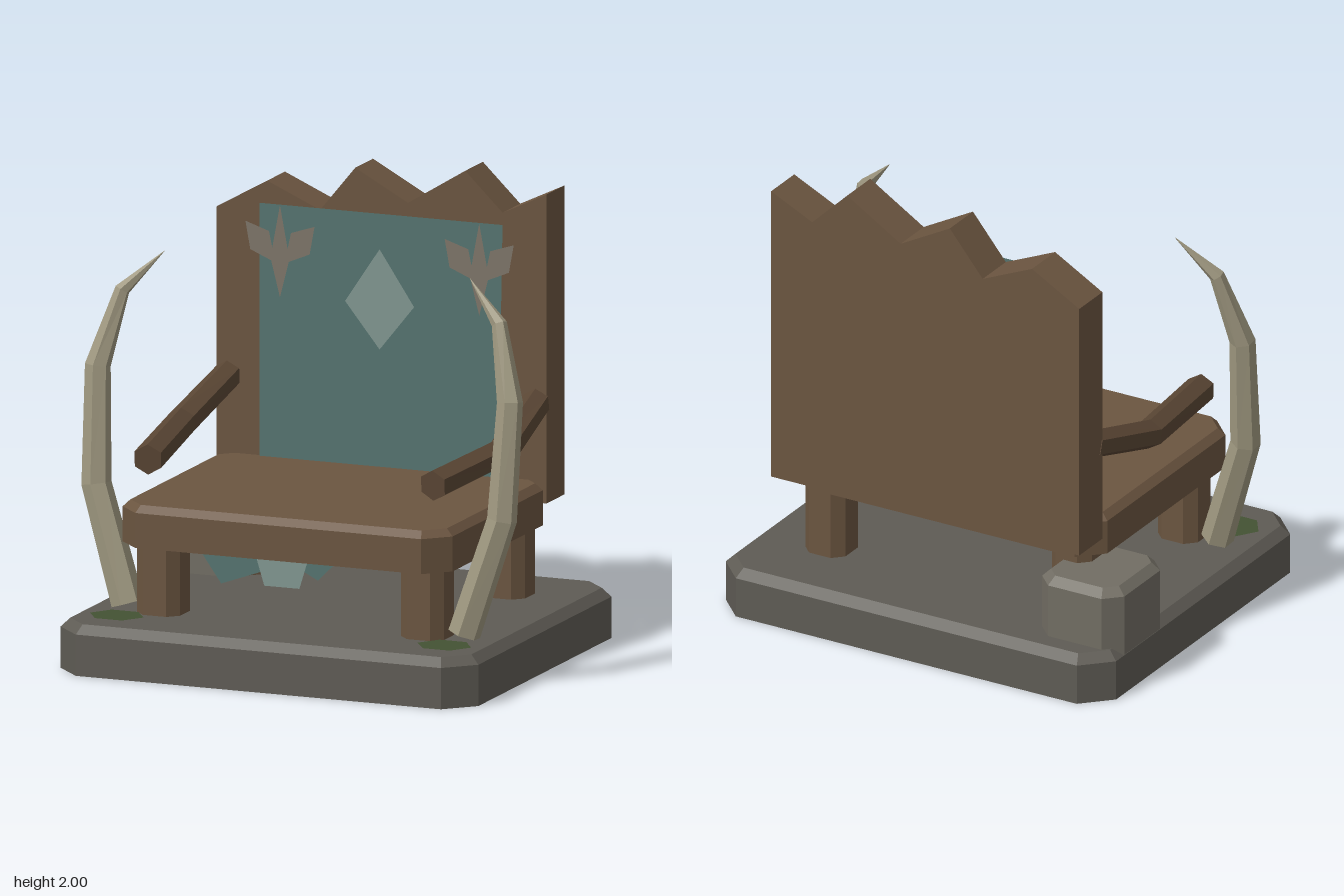
import * as THREE from 'three';

const mat = (color) => new THREE.MeshStandardMaterial({ color, flatShading: true, side: THREE.DoubleSide });

// Joins equal-sized rings of Vector3 (counter-clockwise about the direction of travel)
function loft(rings, capStart, capEnd) {
  const n = rings[0].length, pos = [], idx = [];
  rings.forEach((r) => r.forEach((p) => pos.push(p.x, p.y, p.z)));
  for (let i = 0; i < rings.length - 1; i++) {
    for (let j = 0; j < n; j++) {
      const k = (j + 1) % n, a = i * n, b = a + n;
      idx.push(a + j, a + k, b + k, a + j, b + k, b + j);
    }
  }
  const last = (rings.length - 1) * n;
  for (let j = 1; j < n - 1; j++) {
    if (capStart) idx.push(0, j + 1, j);
    if (capEnd) idx.push(last, last + j, last + j + 1);
  }
  const g = new THREE.BufferGeometry();
  g.setAttribute('position', new THREE.Float32BufferAttribute(pos, 3));
  g.setIndex(idx);
  g.computeVertexNormals();
  return g;
}

// Block with cut corners (c) and a bevelled top edge (b)
function slab(w, d, y0, y1, c, b, closed) {
  const ring = (inset, y) => {
    const x = w / 2 - inset, z = d / 2 - inset, k = c - 0.586 * inset;
    return [[x - k, z], [x, z - k], [x, k - z], [x - k, -z], [k - x, -z], [-x, k - z], [-x, z - k], [k - x, z]]
      .map(([px, pz]) => new THREE.Vector3(px, y, pz));
  };
  return loft([ring(0, y0), ring(0, y1 - b), ring(b, y1)], closed, true);
}

// Tapering faceted limb along a list of points
function limb(points, radii, sides, ref) {
  const p = points.map((a) => new THREE.Vector3(...a));
  const rings = p.map((c, i) => {
    const t = p[Math.min(i + 1, p.length - 1)].clone().sub(p[Math.max(i - 1, 0)]).normalize();
    const u = ref.clone().addScaledVector(t, -ref.dot(t)).normalize();
    const v = t.clone().cross(u);
    return Array.from({ length: sides }, (_, j) => {
      const a = (j / sides) * Math.PI * 2;
      return c.clone().addScaledVector(u, Math.cos(a) * radii[i]).addScaledVector(v, Math.sin(a) * radii[i]);
    });
  });
  return loft(rings, true, true);
}

const outline = (pts) => new THREE.Shape(pts.map(([x, y]) => new THREE.Vector2(x, y)));
const flat = (pts) => new THREE.ShapeGeometry(outline(pts));

export function createModel() {
  const model = new THREE.Group();
  const wood = mat(0x6b5540), darkWood = mat(0x5a4634), stone = mat(0x5e5b54), rock = mat(0x716d63);
  const bone = mat(0x9f9880), cloth = mat(0x55736f), paleCloth = mat(0x809690);
  const emblemMat = mat(0x7d7468), moss = mat(0x435233);

  const add = (name, geometry, material, x = 0, y = 0, z = 0) => {
    const m = new THREE.Mesh(geometry, material);
    m.name = name;
    m.position.set(x, y, z);
    model.add(m);
    return m;
  };

  // Stone plinth, hollow underneath, with a boulder on its back corner
  add('plinth', slab(1.9, 1.67, 0, 0.215, 0.12, 0.038, false), stone);
  add('boulder', slab(0.4, 0.435, 0.18, 0.485, 0.07, 0.035, false), rock, -0.75, 0, -0.5);

  // Seat and four legs
  add('seat', slab(1.5, 1.17, 0.52, 0.7, 0.1, 0.03, true), wood, 0, 0, 0.035);
  for (const x of [-0.6, 0.6]) {
    for (const z of [-0.435, 0.435]) {
      add('leg', slab(0.195, 0.195, 0.16, 0.53, 0.045, 0.005, false), wood, x, 0, z);
    }
  }

  // Backrest with a jagged top
  const back = outline([[-0.75, 0.605], [0.75, 0.605], [0.75, 1.93], [0.55, 1.835], [0.38, 2],
    [0.12, 1.84], [-0.12, 1.97], [-0.28, 1.775], [-0.52, 1.88], [-0.75, 1.75]]);
  add('backrest', new THREE.ExtrudeGeometry(back, { depth: 0.19, bevelEnabled: false }), wood, 0, 0, -0.68);

  // Cloth hanging on the backrest, with its diamond
  add('backCloth', flat([[-0.55, 0.69], [0.535, 0.69], [0.555, 1.785], [-0.55, 1.785]]), cloth, 0, 0, -0.478);
  add('diamond', flat([[0, 1.205], [0.157, 1.4], [0, 1.635], [-0.157, 1.4]]), paleCloth, 0, 0, -0.468);

  // Torn cloth below the front of the seat
  add('torn cloth', flat([[-0.38, 0.53], [-0.28, 0.39], [-0.1, 0.455], [0.1, 0.47], [0.16, 0.44], [0.25, 0.53]]),
    cloth, 0, 0, 0.572);
  add('cloth tab', flat([[-0.12, 0.53], [-0.08, 0.4], [0.08, 0.4], [0.12, 0.53]]), paleCloth, 0, 0, 0.582);

  // Three-pointed leaf: right half, then mirrored
  const half = [[0, 1.39], [0.04, 1.545], [0.135, 1.585], [0.157, 1.705], [0.05, 1.67], [0.035, 1.6]];
  const leaf = [...half, [0, 1.785], ...half.slice(1).reverse().map(([x, y]) => [-x, y])];

  const Y = new THREE.Vector3(0, 1, 0), Z = new THREE.Vector3(0, 0, 1);
  for (const s of [-1, 1]) {
    const side = (pts) => pts.map(([x, y, z]) => [s * x, y, z]);
    add('leafEmblem', flat(leaf), emblemMat, s * 0.453, 0, -0.468);
    add('armrest', limb(side([[0.648, 0.873, 0.49], [0.73, 0.913, -0.07], [0.7, 1.035, -0.5]]),
      [0.066, 0.064, 0.062], 6, Y), darkWood);
    add('tusk', limb(side([[0.765, 0.235, 0.43], [0.922, 0.73, 0.395], [0.937, 1.225, 0.345],
      [0.857, 1.54, 0.27], [0.695, 1.705, 0.2]]), [0.07, 0.064, 0.055, 0.033, 0.001], 6, Z), bone);
    const patch = add('mossPatch', new THREE.CircleGeometry(0.122, 6), moss, s * 0.745, 0.219, 0.595);
    patch.rotation.x = -Math.PI / 2;
    patch.scale.y = 0.85;
  }
  return model;
}
